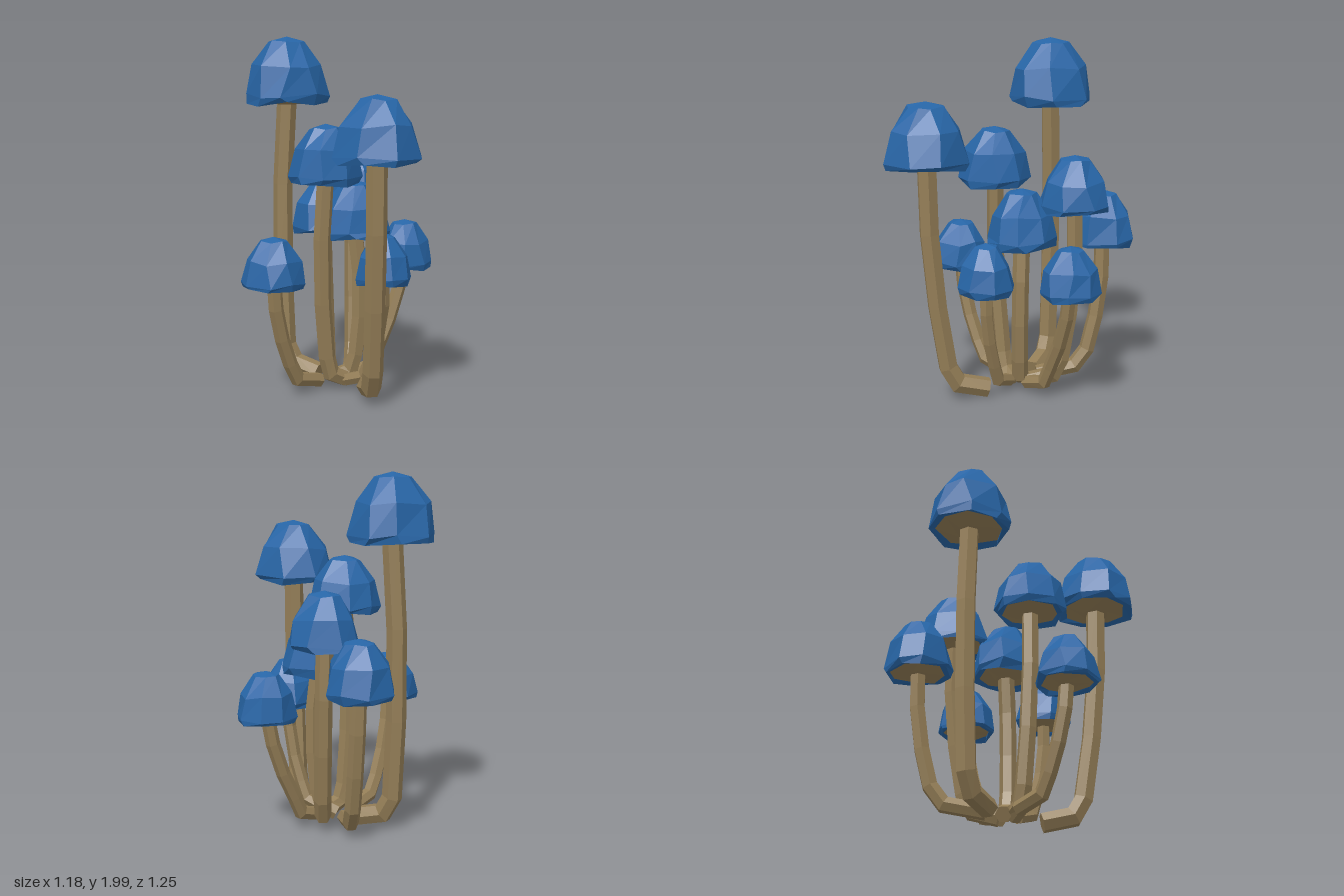
import * as THREE from 'three';

const capBlue = new THREE.MeshStandardMaterial({ color: 0x2765a6, flatShading: true });
capBlue.name = 'cap blue';
const stemBrown = new THREE.MeshStandardMaterial({ color: 0x947e57, flatShading: true });
stemBrown.name = 'stem brown';

// small seeded generator for the hand-cut facets
function seeded(seed) {
  let s = seed * 7919 + 17;
  return () => (s = (s * 16807) % 2147483647) / 2147483647;
}

// skin equal rings of points, closing either end with a centre point where given
function skin(rings, startPoint, endPoint) {
  const pos = [], n = rings[0].length, last = rings[rings.length - 1];
  const tri = (...pts) => pts.forEach((p) => pos.push(p.x, p.y, p.z));
  for (let j = 0; j < n; j++) {
    const k = (j + 1) % n;
    for (let i = 0; i < rings.length - 1; i++) {
      const a = rings[i][j], b = rings[i][k], c = rings[i + 1][k], d = rings[i + 1][j];
      tri(a, b, c);
      tri(a, c, d);
    }
    if (startPoint) tri(rings[0][k], rings[0][j], startPoint);
    if (endPoint) tri(last[j], last[k], endPoint);
  }
  const g = new THREE.BufferGeometry();
  g.setAttribute('position', new THREE.Float32BufferAttribute(pos, 3));
  g.computeVertexNormals();
  return g;
}

// stem path: out along the ground, round the knee in two steps, then up with a slight outward bow
function stemPath(root, knee, capBase) {
  const start = new THREE.Vector3(root[0], 0.06, root[1]);
  const bend = new THREE.Vector3(knee[0], 0.2, knee[1]);
  const elbow = start.clone().lerp(bend, 0.75).setY(0.1);
  const out = bend.clone().sub(start).setY(0).normalize();
  const rise = [0.3, 0.65].map((f) => bend.clone().lerp(capBase, f)
    .addScaledVector(out, 0.03 * Math.sin(f * Math.PI)));
  return [start, elbow, bend, ...rise, capBase];
}

// mitred six-sided tube along the path
function stemGeometry(path, radius) {
  const first = path[0], last = path[path.length - 1];
  const side = new THREE.Vector3(last.z - first.z, 0, first.x - last.x).normalize();
  const rings = path.map((p, i) => {
    const tin = p.clone().sub(path[Math.max(i - 1, 0)]).normalize();
    const tout = path[Math.min(i + 1, path.length - 1)].clone().sub(p).normalize();
    const t = tin.clone().add(tout).normalize();
    const w = side.clone().addScaledVector(t, -side.dot(t)).normalize();
    const v = new THREE.Vector3().crossVectors(t, w);
    const miter = 1 / Math.max(0.75, t.dot(tout.lengthSq() ? tout : tin));
    return Array.from({ length: 6 }, (_, j) => {
      const a = (j / 6) * Math.PI * 2;
      return p.clone().addScaledVector(w, Math.cos(a) * radius)
        .addScaledVector(v, Math.sin(a) * radius * miter);
    });
  });
  return skin(rings, first, last);
}

// faceted dome, from the inner lip up: [radius fraction, height fraction, height jitter]
const DOME = [[0.8, 0.08, 0.04], [0.95, 0.04, 0.09], [1.01, 0.15, 0.08], [0.86, 0.57, 0.08], [0.43, 0.93, 0.04]];

function capGeometries(radius, height, seed) {
  const rnd = seeded(seed), n = 8, turn = rnd() * 6;
  const rings = DOME.map(([r, h, wobble]) => Array.from({ length: n }, (_, j) => {
    const a = turn + ((j + (rnd() - 0.5) * 0.35) / n) * Math.PI * 2;
    const rr = radius * r * (0.96 + rnd() * 0.09);
    const y = height * (h + (rnd() - 0.5) * wobble);
    return new THREE.Vector3(Math.cos(a) * rr, y, -Math.sin(a) * rr);
  }));
  // gills slope from the inner lip of the cap down to the stem
  const inner = rings[0].map((p) => new THREE.Vector3(p.x * 0.4, height * 0.02, p.z * 0.4));
  return {
    dome: skin(rings, null, new THREE.Vector3(0, height, 0)),
    gills: skin([inner, rings[0]], new THREE.Vector3(0, height * 0.01, 0)),
  };
}

// cap: [x, rim y, z, radius, height]; root and knee: [x, z] near the ground
const MUSHROOMS = [
  { cap: [-0.36, 1.61, -0.1, 0.235, 0.39], root: [-0.15, -0.06], knee: [-0.37, -0.09] },
  { cap: [0.36, 1.33, 0.39, 0.235, 0.37], root: [0.2, 0.1], knee: [0.31, 0.3] },
  { cap: [-0.03, 1.19, 0.13, 0.2, 0.335], root: [0.03, 0], knee: [-0.04, 0.09] },
  { cap: [-0.05, 1.05, -0.33, 0.2, 0.33], root: [0.03, -0.08], knee: [-0.02, -0.27] },
  { cap: [0.07, 0.87, -0.06, 0.195, 0.33], root: [-0.03, -0.03], knee: [0.08, -0.05] },
  { cap: [-0.27, 0.82, -0.44, 0.19, 0.33], root: [-0.1, -0.1], knee: [-0.22, -0.37] },
  { cap: [0.26, 0.65, -0.39, 0.165, 0.29], root: [0.05, -0.08], knee: [0.15, -0.25] },
  { cap: [0.29, 0.64, 0.08, 0.155, 0.29], root: [0.05, 0.02], knee: [0.21, 0.06] },
  { cap: [-0.22, 0.64, 0.41, 0.172, 0.29], root: [-0.09, 0.08], knee: [-0.18, 0.29] },
];

export function createModel() {
  const model = new THREE.Group();
  model.name = 'mushroomCluster';
  MUSHROOMS.forEach(({ cap: [x, y, z, radius, height], root, knee }, i) => {
    const group = new THREE.Group();
    group.name = `mushroom${i + 1}`;
    const add = (name, geometry, material) => {
      const mesh = new THREE.Mesh(geometry, material);
      mesh.name = name;
      group.add(mesh);
      return mesh;
    };
    const path = stemPath(root, knee, new THREE.Vector3(x, y + 0.06, z));
    add('stem', stemGeometry(path, radius * 0.24), stemBrown);
    const { dome, gills } = capGeometries(radius, height, i + 1);
    add('cap', dome, capBlue).position.set(x, y, z);
    add('gills', gills, stemBrown).position.set(x, y, z);
    model.add(group);
  });
  return model;
}
